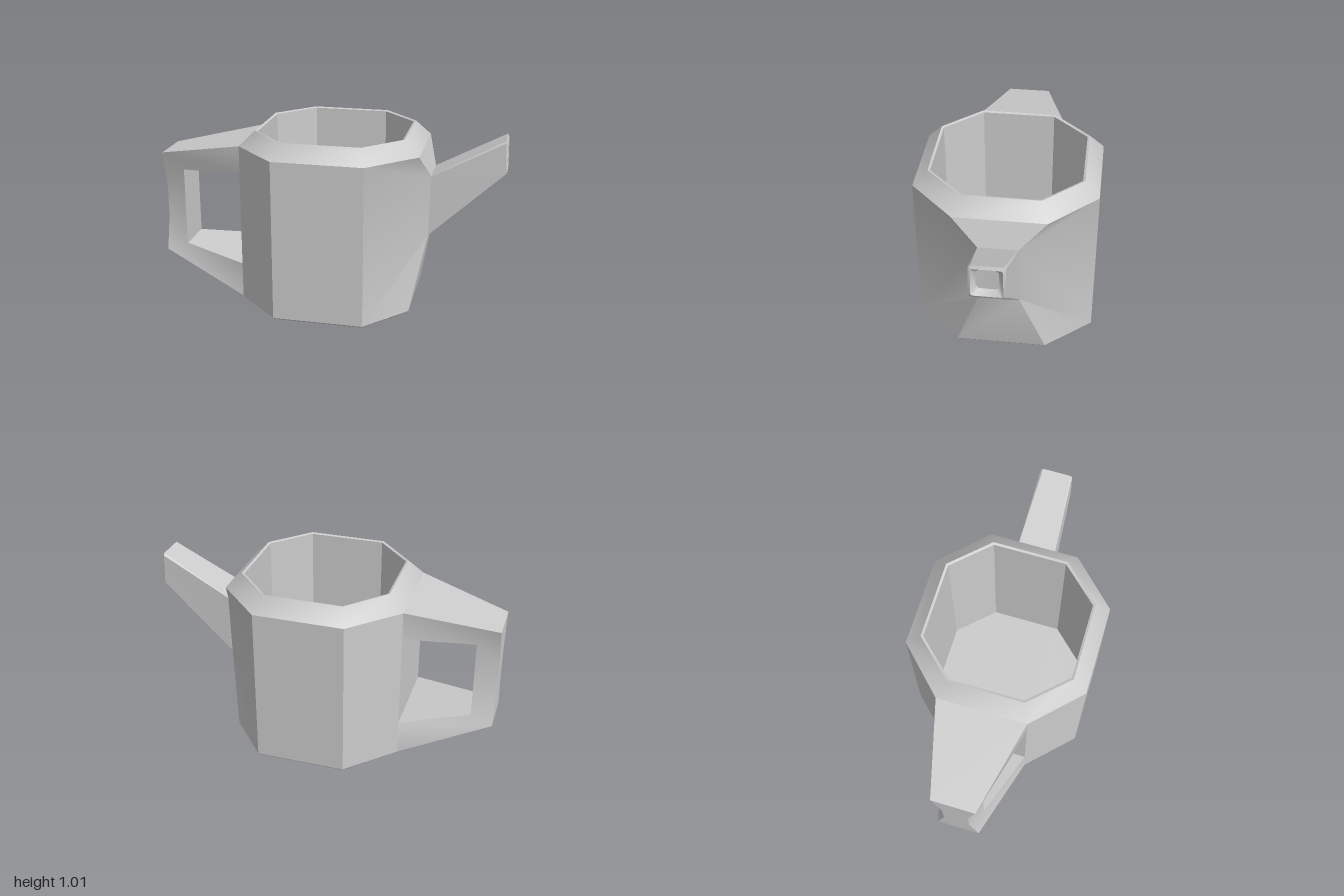
import * as THREE from 'three';
import { toCreasedNormals } from 'three/addons/utils/BufferGeometryUtils.js';

const material = new THREE.MeshStandardMaterial({ color: 0xcccccc });

// Convex polygon as a triangle fan
const fan = (...p) => p.slice(2).flatMap((c, i) => [p[0], p[i + 1], c]);

// Quads between two matching rings, for the given segments
function band(a, b, segments = a.map((_, i) => i)) {
  return segments.flatMap((i) => {
    const j = (i + 1) % a.length;
    return fan(a[j], a[i], b[i], b[j]);
  });
}
const loft = (rings) => rings.slice(1).flatMap((r, i) => band(rings[i], r));

// Gentle folds are shaded smoothly, corners stay sharp
function part(name, tris) {
  const geometry = new THREE.BufferGeometry();
  geometry.setAttribute('position', new THREE.Float32BufferAttribute(tris.flat(), 3));
  const mesh = new THREE.Mesh(toCreasedNormals(geometry, 0.7), material);
  mesh.name = name;
  return mesh;
}

// Horizontal octagon: x stations from left to right, small and large z
function octagon(y, [x0, x1, x2, x3], zs, zb) {
  const half = [[x3, y, zs], [x2, y, zb], [x1, y, zb], [x0, y, zs]];
  return [...half, ...half.slice().reverse().map(([x, h, z]) => [x, h, -z])];
}
const shrink = (ring, k, y) => ring.map(([x, , z]) => [(x - 0.027) * k + 0.027, y, z * k]);

// Upright rectangle of the spout: lower and upper [x, y, half width]
const spoutRect = ([xb, yb, zb], [xt, yt, zt]) =>
  [[xb, yb, zb], [xt, yt, zt], [xt, yt, -zt], [xb, yb, -zb]];

// Cut each corner of a ring at distance c
function chamfer(ring, c) {
  const toward = (p, q) => {
    const a = new THREE.Vector3(...p);
    const d = new THREE.Vector3(...q).sub(a).setLength(c);
    return a.add(d).toArray();
  };
  return ring.flatMap((p, i) => [toward(p, ring.at(i - 1)), toward(p, ring[(i + 1) % ring.length])]);
}

// Body wall: plain panels, left panel inside the handle, and three panels drawn out to the spout
function wall(a, b, p, handleLow, handleHigh) {
  const at = (i, y) => [a[i][0], y, a[i][2]];
  return [
    ...band(a, b, [1, 2, 4, 5]),
    ...fan(at(4, handleLow), at(3, handleLow), at(3, handleHigh), at(4, handleHigh)),
    ...fan(a[1], a[0], p[0]), ...fan(a[1], p[0], p[1], b[1]), ...fan(b[1], p[1], b[0]),
    ...fan(a[6], p[3], a[7]), ...fan(a[6], b[6], p[2], p[3]), ...fan(b[6], b[7], p[2]),
    ...fan(a[0], a[7], p[3], p[0]),
    ...fan(p[1], p[2], b[7], b[0]),
  ];
}

export function createModel() {
  const group = new THREE.Group();

  const foot = octagon(0.008, [-0.485, -0.23, 0.28, 0.5], 0.255, 0.51);
  const base = shrink(foot, 0.987, 0);
  const shoulder = octagon(0.925, [-0.485, -0.23, 0.28, 0.535], 0.255, 0.51);
  const rimOuter = octagon(1.01, [-0.4, -0.2, 0.247, 0.45], 0.215, 0.428);
  const rimInner = shrink(rimOuter, 0.97, 1.005);
  const floor = shrink(rimInner, 1, 0.03);
  const spoutBase = spoutRect([0.58, 0.425, 0.112], [0.588, 0.778, 0.11]);

  // Body shell, beveled at the foot, with a straight-walled cavity
  group.add(part('bodyWall', wall(foot, shoulder, spoutBase, 0.213, 0.765)));
  group.add(part('bodyBottom', [...fan(...base), ...band(base, foot)]));
  group.add(part('rim', loft([shoulder, rimOuter, rimInner])));
  group.add(part('cavity', [...band(rimInner, floor), ...fan(...floor).reverse()]));

  // Hollow spout: outside, tip frame, sloped lip, then back along the inside
  const throatEnd = chamfer(spoutRect([0.59, 0.48, 0.07], [0.6, 0.74, 0.07]), 0.012);
  group.add(part('spout', [
    ...loft([
      chamfer(spoutBase, 0.001),
      chamfer(spoutRect([0.993, 0.8, 0.097], [0.988, 0.998, 0.093]), 0.012),
      chamfer(spoutRect([1, 0.814, 0.082], [0.997, 0.982, 0.08]), 0.01),
      chamfer(spoutRect([0.97, 0.84, 0.058], [0.97, 0.96, 0.058]), 0.016),
      throatEnd,
    ]),
    ...fan(...throatEnd).reverse(),
  ]));

  // Handle loop: outer [x, y, half width] and inner [x, y, half width] per section
  const sections = [
    [[-0.485, 0.925, 0.255], [-0.485, 0.765, 0.255]],
    [[-1, 0.82, 0.125], [-0.873, 0.722, 0.12]],
    [[-1, 0.62, 0.075], [-0.873, 0.722, 0.12]],
    [[-1, 0.41, 0.075], [-0.873, 0.258, 0.12]],
    [[-1, 0.21, 0.125], [-0.873, 0.258, 0.12]],
    [[-0.485, 0.008, 0.255], [-0.485, 0.213, 0.255]],
  ];
  const handleRings = sections.map(([[ox, oy, oz], [ix, iy, iz]]) =>
    [[ox, oy, oz], [ix, iy, iz], [ix, iy, -iz], [ox, oy, -oz]]);
  group.add(part('handle', loft(handleRings)));

  return group;
}
